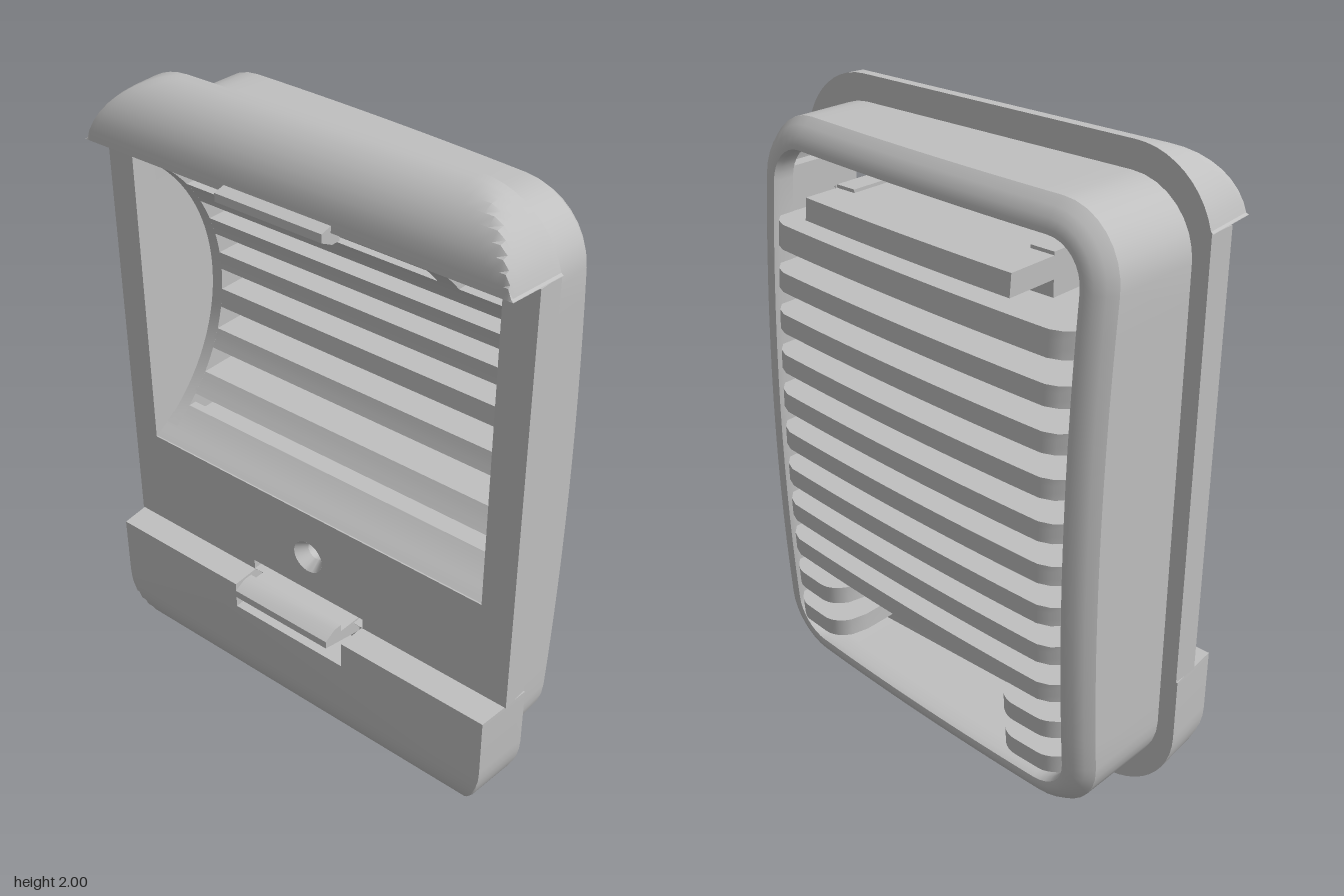
import * as THREE from 'three';
import { toCreasedNormals } from 'three/addons/utils/BufferGeometryUtils.js';

const plastic = new THREE.MeshStandardMaterial({ color: 0xc0c0c0 });
plastic.name = 'grey plastic';
const plasticOpen = plastic; // every part shares the one colour

const CX = -0.005; // centre line of the inner parts

// Depth of the back edge: tilted across x, bowed in x and y
const backZ = (x, y) =>
  -0.145 + 0.059 * x - 0.02 * (1 - (x / 0.68) ** 2) - 0.05 * (1 - ((y - 1) / 0.92) ** 2);

// Concave cylindrical scoop behind the front opening
const scoopZ = (y) => {
  const d = Math.abs(y - 1.265);
  return d >= 0.485 ? 0.18 : 0.44 - Math.sqrt(0.3025 - d * d);
};

function add(group, name, geometry) {
  const mesh = new THREE.Mesh(geometry, plasticOpen);
  mesh.name = name;
  group.add(mesh);
  return mesh;
}

// Skin over rings of equal length, with optional flat end caps
function loft(rings, capStart, capEnd) {
  const pos = [];
  const put = (...pts) => pts.forEach((p) => pos.push(...p));
  for (let k = 0; k + 1 < rings.length; k++) {
    const n = rings[k].length;
    for (let i = 0; i < n; i++) {
      const j = (i + 1) % n;
      const a = rings[k][i], b = rings[k][j], c = rings[k + 1][j], d = rings[k + 1][i];
      put(a, b, c, a, c, d);
    }
  }
  const cap = (ring, flip) => {
    const flat = ring.map((p) => new THREE.Vector2(p[0], p[1]));
    for (const [a, b, c] of THREE.ShapeUtils.triangulateShape(flat, [])) {
      const up = THREE.ShapeUtils.area([flat[a], flat[b], flat[c]]) > 0;
      if (up !== flip) put(ring[a], ring[b], ring[c]);
      else put(ring[a], ring[c], ring[b]);
    }
  };
  if (capStart) cap(rings[0], true);
  if (capEnd) cap(rings[rings.length - 1], false);
  const g = new THREE.BufferGeometry();
  g.setAttribute('position', new THREE.Float32BufferAttribute(pos, 3));
  return toCreasedNormals(g, 0.6);
}

// Rounded rectangle, anticlockwise, with its straight sides divided
function outline(hx, y0, y1, r, side = 14) {
  const arcs = [[hx - r, y1 - r], [-hx + r, y1 - r], [-hx + r, y0 + r], [hx - r, y0 + r]].map(
    ([cx, cy], q) => Array.from({ length: 9 }, (_, i) => {
      const a = (q + i / 8) * Math.PI / 2;
      return [cx + r * Math.cos(a), cy + r * Math.sin(a)];
    }));
  return arcs.flatMap((arc, q) => {
    const p = arc[8], n = arcs[(q + 1) % 4][0];
    const line = [];
    for (let i = 1; i < side; i++) {
      const t = i / side;
      line.push([p[0] + (n[0] - p[0]) * t, p[1] + (n[1] - p[1]) * t]);
    }
    return [...arc, ...line];
  });
}

// Box whose front and back faces follow depth rules
function warpedBox(x0, x1, y0, y1, front, back, nx = 1, ny = 1) {
  const g = new THREE.BoxGeometry(1, 1, 1, nx, ny, 1);
  const p = g.attributes.position;
  for (let i = 0; i < p.count; i++) {
    const x = x0 + (p.getX(i) + 0.5) * (x1 - x0);
    const y = y0 + (p.getY(i) + 0.5) * (y1 - y0);
    p.setXYZ(i, x, y, p.getZ(i) > 0 ? front(x, y) : back(x, y));
  }
  return toCreasedNormals(g, 0.5);
}

// Extrude a (z, y) profile along x from x0 to x1
function extrudeX(points, x0, x1) {
  const shape = new THREE.Shape(points.map(([z, y]) => new THREE.Vector2(-z, y)));
  const g = new THREE.ExtrudeGeometry(shape, { depth: x1 - x0, bevelEnabled: false });
  g.rotateY(Math.PI / 2);
  g.translate(x0, 0, 0);
  return toCreasedNormals(g, 0.5);
}

// Raised end of the front flange: rounded lip with a notch for the clip
function flangeEnd(cut, notch, top) {
  const hx = 0.74, r = 0.25, pts = [
    [hx, cut], [0.21, cut], [0.21, notch], [-0.23, notch], [-0.23, cut], [-hx, cut]];
  for (const side of [-1, 1]) for (let i = 0; i <= 12; i++) {
    const a = Math.PI * (side < 0 ? 1 + i / 24 : 1.5 + i / 24);
    pts.push([side * (hx - r) + r * Math.cos(a), Math.min(cut, r + r * Math.sin(a))]);
  }
  const rings = [];
  for (let k = 0; k <= 10; k++) {
    const a = (k / 10) * Math.PI / 2;
    const z = 0.09 + 0.185 * Math.sin(a), low = 0.19 * (1 - Math.cos(a));
    const ring = pts.map(([x, y]) => {
      const yy = Math.max(y, low);
      return [x * (1 - 0.025 * Math.sin(a)), top ? 2 - yy : yy, z];
    });
    rings.push(top ? ring.reverse() : ring);
  }
  return loft(rings, true, !top);
}

const rectPath = (x0, x1, y0, y1) =>
  new THREE.Path([[x0, y0], [x1, y0], [x1, y1], [x0, y1]].map((p) => new THREE.Vector2(...p)));

export function createModel() {
  const group = new THREE.Group();
  group.name = 'vent housing';

  // Rear body shell: inner wall, inward lip, rounded rim, outer wall
  const shell = [[0.045, 0.1], [0.045, null, 0.03], [0.092, null, 0.02], [0.092, null, -0.03],
    [0.085, null, -0.048], [0.07, null, -0.052], [0.045, null, -0.045], [0.02, null, -0.026],
    [0, null, 0], [0, 0.09]];
  add(group, 'rear shell', loft(shell.map(([inset, z, dz]) =>
    outline(0.68 - inset, 0.08 + inset, 1.92 - inset, 0.2 - inset)
      .map(([x, y]) => [x + CX / 2, y, z ?? backZ(x, y) + dz]))));

  // Front flange ends
  add(group, 'lower flange', flangeEnd(0.45, 0.36, false));
  add(group, 'upper flange', flangeEnd(0.19, 0.1, true));

  // Front plate with the notched opening, clip slots and screw hole
  const plate = new THREE.Shape(rectPath(-0.735, 0.735, 0.45, 1.81).getPoints());
  const opening = [[-0.64, 0.78], [0.63, 0.78], [0.63, 1.75], [0.585, 1.75], [0.585, 1.775],
    [0.39, 1.775], [0.39, 1.75], [-0.41, 1.75], [-0.41, 1.775], [-0.6, 1.775], [-0.6, 1.75], [-0.64, 1.75]];
  const screw = new THREE.Path().absarc(CX, 0.615, 0.055, 0, Math.PI * 2);
  plate.holes.push(new THREE.Path(opening.map((p) => new THREE.Vector2(...p))), screw,
    rectPath(-0.23, 0.21, 0.451, 0.485), rectPath(-0.23, 0.21, 1.78, 1.809));
  const plateGeo = new THREE.ExtrudeGeometry(plate, { depth: 0.09, bevelEnabled: false, curveSegments: 24 });
  plateGeo.translate(0, 0, 0.09);
  add(group, 'front plate', toCreasedNormals(plateGeo, 0.5));

  // Countersunk screw seat
  const seat = new THREE.LatheGeometry(
    [[0.055, 0.09], [0.032, 0.09], [0.032, 0.14], [0.055, 0.18]].map((p) => new THREE.Vector2(...p)), 24);
  seat.rotateX(Math.PI / 2);
  seat.translate(CX, 0.615, 0);
  // Lathe winding is checked by giving the seat both skins
  const seatFlip = seat.clone();
  seatFlip.setIndex(Array.from(seat.index.array).reverse());
  add(group, 'screw seat', toCreasedNormals(seat, 0.5));
  add(group, 'screw seat inside', toCreasedNormals(seatFlip, 0.5));

  // Snap clips and the pocket floors behind them
  const clip = [[0.1, 0.39], [0.27, 0.43], [0.31, 0.44], [0.31, 0.465], [0.27, 0.485],
    [0.24, 0.485], [0.24, 0.46], [0.1, 0.455]];
  for (const [name, flip] of [['lower', false], ['upper', true]]) {
    const pts = clip.map(([z, y]) => [z, flip ? 2.26 - y : y]);
    add(group, name + ' clip', extrudeX(pts, -0.19, 0.175));
    const y0 = flip ? 1.81 : 0.355;
    add(group, name + ' pocket floor', warpedBox(-0.235, 0.215, y0, y0 + 0.095, () => 0.15, () => 0.09));
  }

  // Side cheeks carrying the ends of the scoop
  for (const [x0, x1] of [[-0.645, -0.597], [0.587, 0.635]]) {
    const pts = [];
    for (let i = 0; i <= 32; i++) {
      const y = 0.78 + 0.97 * i / 32;
      pts.push([Math.min(scoopZ(y), 0.17), y]);
    }
    for (let i = 0; i <= 10; i++) {
      const y = 1.75 - 1.5 * i / 10;
      pts.push([backZ(x0, y) + 0.012, y]);
    }
    pts.push([0.1, 0.25]);
    add(group, 'side cheek', extrudeX(pts, x0, x1));
  }

  // Lower and upper edges of the scoop
  const scoopFront = (x, y) => Math.min(scoopZ(y), 0.175);
  add(group, 'scoop sill', warpedBox(-0.64, 0.63, 0.78, 0.86, scoopFront, () => 0.04, 1, 6));
  add(group, 'scoop head', warpedBox(-0.41, 0.39, 1.72, 1.752, scoopFront, () => 0.06, 1, 4));

  // Louvre slats, with the lowest two cut to rounded stubs at each side
  const slatFront = (x, y) => Math.min(scoopZ(y), 0.1);
  const slatBack = (x, y) => {
    const end = Math.max(0, (Math.abs(x - CX) - 0.52) / 0.075);
    return backZ(x, y) - 0.07 + 0.045 * end * end;
  };
  for (let i = 0; i < 12; i++) {
    const y0 = 0.24 + 0.13 * i, y1 = y0 + (i === 10 ? 0.075 : 0.06);
    if (i < 2) {
      for (const s of [-1, 1]) {
        const stubBack = (x, y) => {
          const t = Math.min(1, Math.max(0, (Math.abs(x - CX) - 0.34) / 0.09));
          return slatBack(x, y) + 0.11 * (1 - Math.sqrt(1 - (1 - t) ** 2));
        };
        const a = CX + s * 0.34, b = CX + s * 0.6;
        add(group, 'slat stub', warpedBox(Math.min(a, b), Math.max(a, b), y0, y1, slatFront, stubBack, 20, 1));
      }
    } else if (i === 11) {
      add(group, 'top bar', warpedBox(-0.41, 0.39, 1.665, 1.73, slatFront,
        (x, y) => backZ(x, y) - 0.085, 12, 3));
    } else {
      add(group, 'slat', warpedBox(CX - 0.6, CX + 0.6, y0, y1, slatFront, slatBack, 32, 3));
    }
  }

  // Braces joining the top bar to the slat below it
  for (const [x0, x1] of [[-0.41, -0.33], [0.32, 0.39]])
    add(group, 'top bar brace', warpedBox(x0, x1, 1.595, 1.74, slatFront, () => -0.12, 1, 6));

  return group;
}
